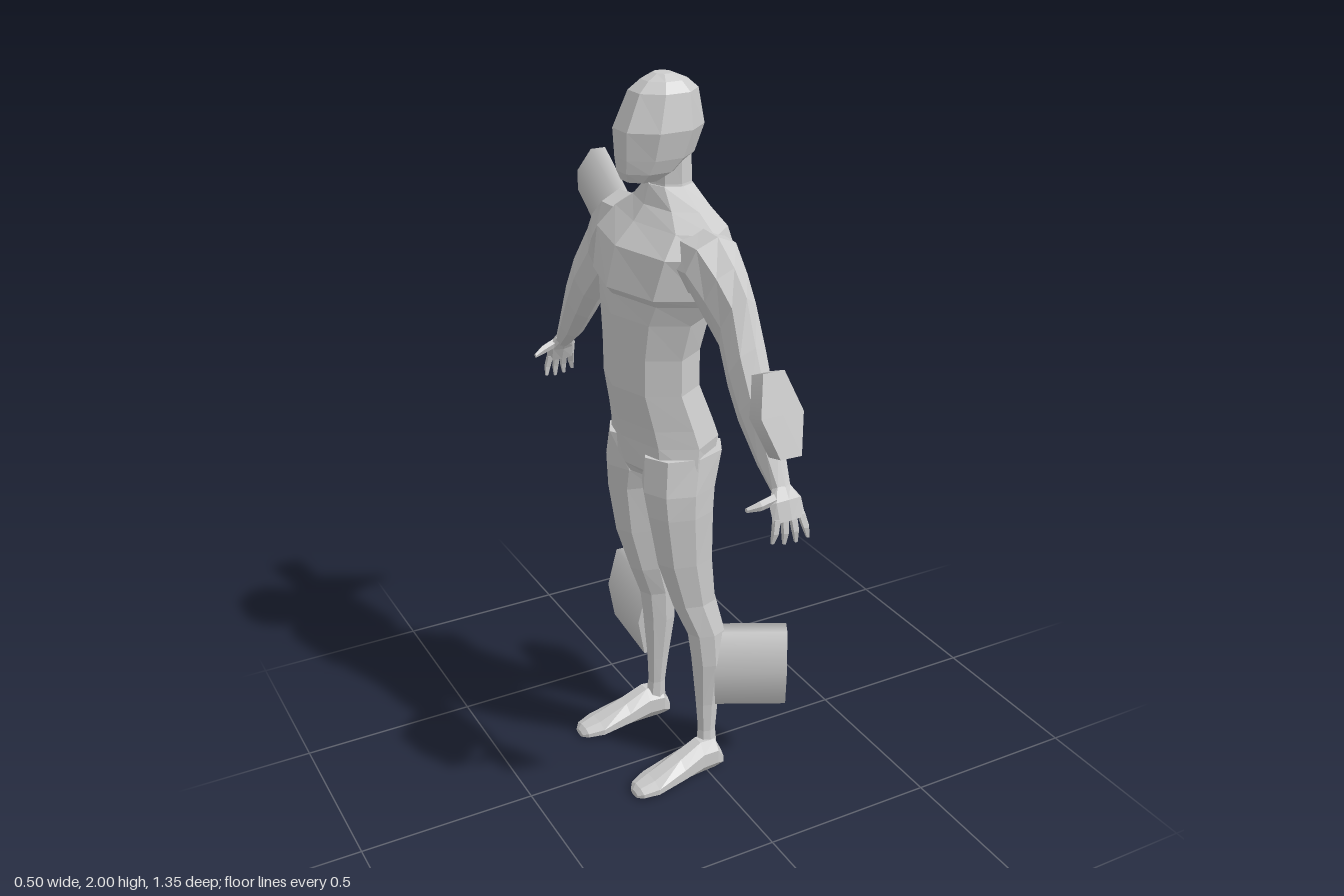
import * as THREE from 'three';

const mat = new THREE.MeshStandardMaterial({ color: 0xcccccc, flatShading: true, side: THREE.DoubleSide });
const smoothMat = new THREE.MeshStandardMaterial({ color: 0xcccccc });
const V = (x, y, z) => new THREE.Vector3(x, y, z);

// Closed skin through elliptical rings, each given as [centre, half axis u, half axis v]
function loft(name, rings, n = 8, phase = 0) {
  const k = phase ? 1 / Math.cos(Math.PI / n) : 1;
  const p = [], idx = [];
  for (const [c, u, v] of rings) {
    for (let i = 0; i < n; i++) {
      const a = phase + (i / n) * Math.PI * 2;
      p.push(c.clone().addScaledVector(u, k * Math.cos(a)).addScaledVector(v, k * Math.sin(a)));
    }
  }
  const m = rings.length;
  for (let r = 0; r < m - 1; r++) {
    for (let i = 0; i < n; i++) {
      const j = (i + 1) % n, a = r * n + i, b = r * n + j;
      idx.push(a, b, b + n, a, b + n, a + n);
    }
  }
  for (let i = 1; i < n - 1; i++) {
    const t = (m - 1) * n;
    idx.push(0, i + 1, i, t, t + i, t + i + 1);
  }
  // Turn the skin outward if its volume comes out negative
  let vol = 0;
  for (let i = 0; i < idx.length; i += 3) vol += p[idx[i]].dot(p[idx[i + 1]].clone().cross(p[idx[i + 2]]));
  if (vol < 0) idx.reverse();
  const g = new THREE.BufferGeometry().setFromPoints(p);
  g.setIndex(idx);
  const flat = g.toNonIndexed();
  flat.computeVertexNormals();
  const mesh = new THREE.Mesh(flat, mat);
  mesh.name = name;
  return mesh;
}

// Level ring between two x and two z limits
const level = (y, x0, x1, z0, z1) =>
  [V((x0 + x1) / 2, y, (z0 + z1) / 2), V((x1 - x0) / 2, 0, 0), V(0, 0, (z1 - z0) / 2)];
const centred = ([y, x0, x1, w]) => level(y, x0, x1, -w, w);

// Tapered finger between two points
function finger(name, a, b, r) {
  const v = Math.abs(b.x - a.x) > Math.abs(b.y - a.y) ? V(0, r, 0) : V(r, 0, 0);
  const mid = a.clone().lerp(b, 0.55).add(V(0, 0, (Math.sign(a.z)) * 0.004));
  return loft(name, [[a, 1], [mid, 0.9], [b, 0.45]].map(([c, s]) =>
    [c, v.clone().multiplyScalar(s), V(0, 0, r * s)]), 5);
}

// Arm and hand on one side (s = 1 or -1)
function arm(s) {
  const g = new THREE.Group();
  g.name = s > 0 ? 'armPositiveZ' : 'armNegativeZ';
  // x limits, then outer and inner edge points (z, y)
  const stations = [
    [-0.12, 0.05, 0.16, 1.65, 0.15, 1.47],
    [-0.115, 0.045, 0.25, 1.645, 0.21, 1.475],
    [-0.1, 0.025, 0.33, 1.59, 0.26, 1.42],
    [-0.085, 0.012, 0.385, 1.53, 0.305, 1.37],
    [-0.1, 0.005, 0.445, 1.425, 0.37, 1.29],
    [-0.1, -0.005, 0.497, 1.326, 0.42, 1.225],
    [-0.09, -0.015, 0.555, 1.205, 0.5, 1.14],
    [-0.08, -0.03, 0.597, 1.12, 0.565, 1.09],
  ];
  g.add(loft('arm', stations.map(([x0, x1, zo, yo, zi, yi]) => [
    V((x0 + x1) / 2, (yo + yi) / 2, s * (zo + zi) / 2),
    V((x1 - x0) / 2, 0, 0), V(0, (yo - yi) / 2, s * (zo - zi) / 2)])));
  g.add(loft('palm', [
    [V(-0.055, 1.115, s * 0.577), V(0.026, 0, 0), V(0, 0.01, s * 0.017)],
    [V(-0.055, 1.085, s * 0.597), V(0.046, 0, 0), V(0, 0.01, s * 0.016)],
    [V(-0.052, 1.04, s * 0.612), V(0.046, 0, 0), V(0, 0.004, s * 0.012)],
  ]));
  for (let i = 0; i < 4; i++) {
    const t = i - 1.5;
    g.add(finger('finger' + (i + 1), V(-0.052 + t * 0.023, 1.05, s * 0.61),
      V(-0.053 + t * 0.031, 0.978 + Math.abs(t) * 0.007, s * (0.62 + 0.005 * t)), 0.0115));
  }
  g.add(finger('thumb', V(-0.085, 1.095, s * 0.592), V(-0.152, 1.075, s * 0.575), 0.014));
  return g;
}

// Leg and foot on one side
function leg(s) {
  const g = new THREE.Group();
  g.name = s > 0 ? 'legPositiveZ' : 'legNegativeZ';
  const stations = [
    [1.02, -0.16, 0.075, 0.01, 0.185],
    [0.92, -0.167, 0.045, 0.008, 0.195],
    [0.85, -0.16, 0.037, 0.035, 0.193],
    [0.7, -0.135, 0.035, 0.055, 0.182],
    [0.56, -0.09, 0.045, 0.07, 0.172],
    [0.46, -0.05, 0.065, 0.087, 0.185],
    [0.36, -0.037, 0.065, 0.095, 0.185],
    [0.22, -0.025, 0.045, 0.112, 0.17],
    [0.13, -0.02, 0.035, 0.122, 0.168],
    [0.05, -0.03, 0.04, 0.122, 0.178],
  ];
  g.add(loft('leg', stations.map(([y, x0, x1, z0, z1]) => level(y, x0, x1, s * z0, s * z1))));
  // x, height, half width
  const sole = [[0.045, 0.05, 0.026], [0.02, 0.1, 0.038], [-0.03, 0.105, 0.038],
    [-0.1, 0.075, 0.045], [-0.19, 0.04, 0.05], [-0.235, 0.028, 0.036], [-0.248, 0.016, 0.02]];
  g.add(loft('foot', sole.map(([x, h, w]) =>
    [V(x, h / 2, s * (0.157 - x * 0.05)), V(0, h / 2, 0), V(0, 0, w)]), 8, Math.PI / 8));
  return g;
}

// Six-sided block from a to b; "long" is the direction of its wide side
function block(name, a, b, long, halfLong, halfThick) {
  const y = b.clone().sub(a), h = y.length();
  y.normalize();
  const x = long.clone().addScaledVector(y, -long.dot(y)).normalize();
  const z = x.clone().cross(y);
  const g = new THREE.CylinderGeometry(1, 1, h, 6);
  g.scale(halfLong / Math.cos(Math.PI / 6), 1, halfThick);
  g.applyMatrix4(new THREE.Matrix4().makeBasis(x, y, z));
  const c = a.clone().lerp(b, 0.5);
  g.translate(c.x, c.y, c.z);
  const mesh = new THREE.Mesh(g, smoothMat);
  mesh.name = name;
  return mesh;
}

export function createModel() {
  const model = new THREE.Group();
  model.name = 'figureWithBlocks';
  const body = new THREE.Group();
  body.name = 'body';
  body.position.z = -0.04;
  body.rotation.y = 0.04;
  model.add(body);

  // Torso: y, front x, back x, half width
  body.add(loft('torso', [
    [0.94, -0.15, 0.03, 0.1], [0.97, -0.168, 0.06, 0.188], [1.05, -0.175, 0.086, 0.184],
    [1.1, -0.182, 0.07, 0.175], [1.2, -0.2, 0.032, 0.16], [1.3, -0.2, 0.032, 0.162],
    [1.4, -0.2, 0.055, 0.185], [1.455, -0.195, 0.085, 0.215], [1.475, -0.212, 0.098, 0.225],
    [1.58, -0.185, 0.104, 0.25], [1.635, -0.13, 0.085, 0.22], [1.675, -0.1, 0.06, 0.14],
    [1.725, -0.085, 0.035, 0.068],
  ].map(centred)));
  body.add(loft('neck', [
    [1.66, -0.09, 0.045, 0.08], [1.73, -0.08, 0.032, 0.062], [1.82, -0.075, 0.03, 0.06],
  ].map(centred)));
  body.add(loft('head', [
    [1.742, -0.155, -0.06, 0.045], [1.765, -0.163, -0.01, 0.062], [1.8, -0.165, 0.03, 0.075],
    [1.87, -0.166, 0.056, 0.09], [1.96, -0.125, 0.042, 0.074], [1.985, -0.095, 0.015, 0.05],
    [2.0, -0.065, -0.02, 0.025],
  ].map(centred), 8, Math.PI / 8));
  for (const s of [1, -1]) body.add(arm(s), leg(s));

  // Blocks fixed to the limbs
  model.add(
    block('legBlockPositiveZ', V(0.04, 0.335, 0.1), V(0.2215, 0.335, 0.195), V(0, 1, 0), 0.12, 0.05),
    block('legBlockNegativeZ', V(0, 0.335, -0.2), V(0.005, 0.357, -0.415), V(0, 1, 0), 0.123, 0.05),
    block('armBlockNegativeZ', V(-0.042, 1.545, -0.3), V(-0.042, 1.657, -0.467), V(0, 0.84, 0.54), 0.082, 0.043),
    block('armBlockPositiveZ', V(-0.02, 1.27, 0.455), V(-0.09, 1.35, 0.628), V(0, 0.9, -0.42), 0.1, 0.05),
  );
  return model;
}
